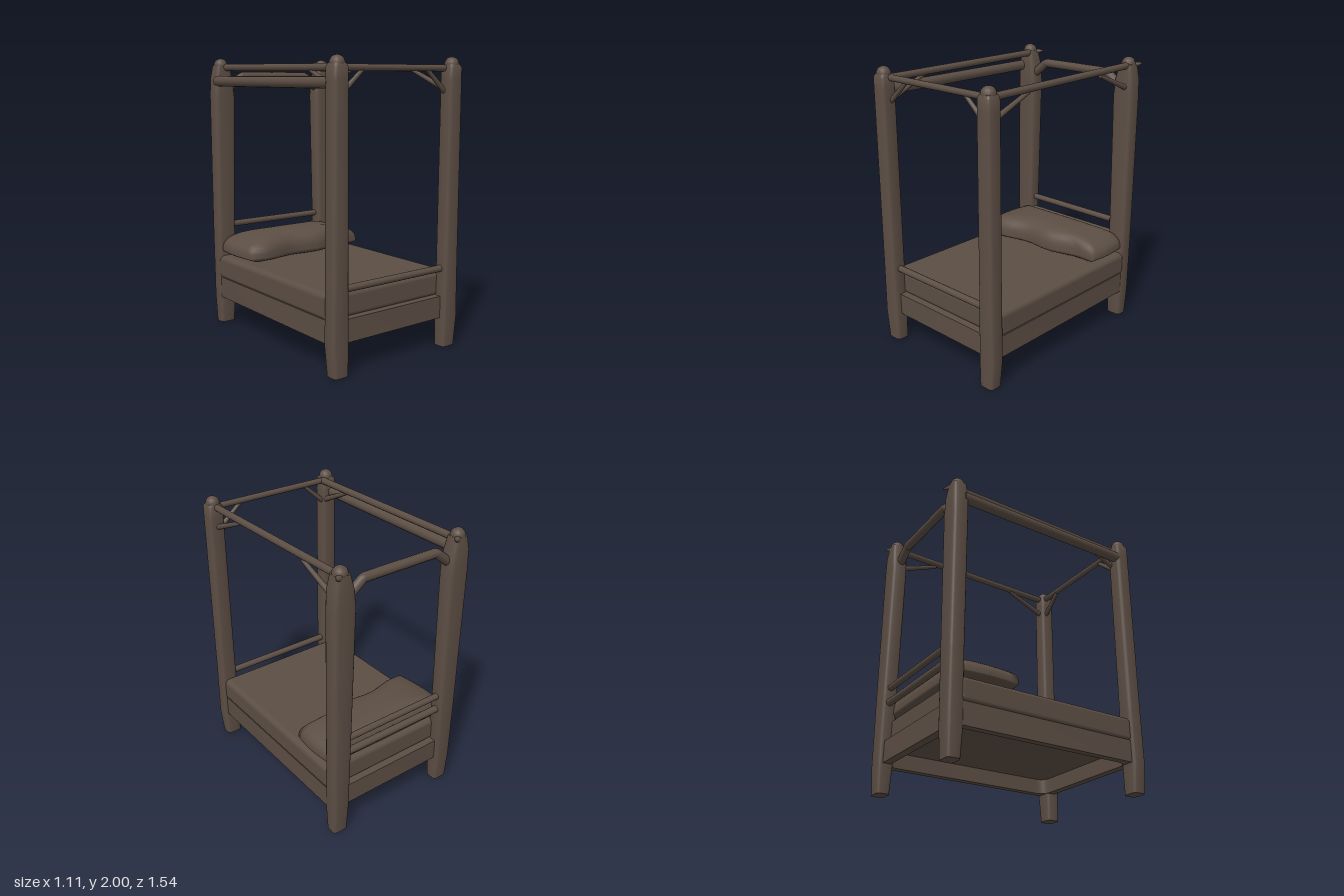
import * as THREE from 'three';
import { toCreasedNormals } from 'three/addons/utils/BufferGeometryUtils.js';
import { RoundedBoxGeometry } from 'three/addons/geometries/RoundedBoxGeometry.js';

const wood = new THREE.MeshStandardMaterial({ color: 0x5c4e44 });
wood.name = 'darkBrown';

function add(group, name, geometry) {
  const mesh = new THREE.Mesh(geometry, wood);
  mesh.name = name;
  group.add(mesh);
  return mesh;
}

// Soft-cornered column through rings [y, centreX, centreZ, halfX, halfZ]
function loft(rings, n = 20) {
  const pos = [], idx = [];
  const soft = v => Math.sign(v) * Math.pow(Math.abs(v), 0.45);
  for (const [y, cx, cz, hx, hz] of rings) {
    for (let i = 0; i < n; i++) {
      const a = (i / n) * Math.PI * 2;
      pos.push(cx + hx * soft(Math.cos(a)), y, cz + hz * soft(Math.sin(a)));
    }
  }
  for (let r = 0; r < rings.length - 1; r++) {
    for (let i = 0; i < n; i++) {
      const a = r * n + i, b = r * n + (i + 1) % n;
      idx.push(a, a + n, b, b, a + n, b + n);
    }
  }
  const last = (rings.length - 1) * n;
  for (let i = 1; i < n - 1; i++) {
    idx.push(0, i, i + 1);
    idx.push(last, last + i + 1, last + i);
  }
  const g = new THREE.BufferGeometry();
  g.setAttribute('position', new THREE.Float32BufferAttribute(pos, 3));
  g.setIndex(idx);
  return toCreasedNormals(g, 0.7);
}

// Round pole between two points
function pole(group, name, a, b, r0, r1 = r0) {
  const A = new THREE.Vector3(...a), B = new THREE.Vector3(...b);
  const dir = B.clone().sub(A);
  const mesh = add(group, name, new THREE.CylinderGeometry(r1, r0, dir.length(), 14));
  mesh.position.copy(A).add(B).multiplyScalar(0.5);
  mesh.quaternion.setFromUnitVectors(new THREE.Vector3(0, 1, 0), dir.normalize());
  return mesh;
}

function roundedRect(path, hx, hz, r) {
  path.moveTo(-hx + r, -hz);
  path.lineTo(hx - r, -hz);
  path.quadraticCurveTo(hx, -hz, hx, -hz + r);
  path.lineTo(hx, hz - r);
  path.quadraticCurveTo(hx, hz, hx - r, hz);
  path.lineTo(-hx + r, hz);
  path.quadraticCurveTo(-hx, hz, -hx, hz - r);
  path.lineTo(-hx, -hz + r);
  path.quadraticCurveTo(-hx, -hz, -hx + r, -hz);
  return path;
}

export function createModel() {
  const bed = new THREE.Group();
  bed.name = 'fourPosterBed';

  // Posts with tapered feet and domed caps
  for (const s of [-1, 1]) {
    add(bed, 'frontPost', loft([
      [0, s * 0.478, 0.715, 0.058, 0.05], [0.2, s * 0.487, 0.715, 0.068, 0.055],
      [0.6, s * 0.487, 0.715, 0.062, 0.056], [1.85, s * 0.487, 0.715, 0.058, 0.056],
      [1.93, s * 0.487, 0.715, 0.056, 0.056], [1.95, s * 0.487, 0.715, 0.045, 0.045]]));
    add(bed, 'backPost', loft([
      [0, s * 0.47, -0.7, 0.058, 0.047], [0.2, s * 0.47, -0.7, 0.066, 0.058],
      [0.7, s * 0.467, -0.705, 0.073, 0.056], [1.72, s * 0.458, -0.706, 0.083, 0.06],
      [1.85, s * 0.462, -0.706, 0.073, 0.06], [1.95, s * 0.465, -0.706, 0.05, 0.05]]));
    for (const [x, z] of [[s * 0.487, 0.715], [s * 0.465, -0.706]]) {
      const cap = add(bed, 'postCap', new THREE.SphereGeometry(0.05, 16, 10));
      cap.position.set(x, 1.95, z);
    }
  }
  // Pointed flares on the back caps
  pole(bed, 'capFlare', [0.465, 1.93, -0.715], [0.54, 1.955, -0.77], 0.035, 0.004);
  pole(bed, 'capFlare', [-0.47, 1.93, -0.715], [-0.38, 1.95, -0.77], 0.035, 0.004);

  // Canopy poles
  pole(bed, 'frontCanopyPole', [-0.46, 1.925, 0.7], [0.46, 1.925, 0.7], 0.022);
  pole(bed, 'leftCanopyPole', [0.48, 1.925, 0.7], [0.475, 1.94, -0.7], 0.024);
  pole(bed, 'rightCanopyPole', [-0.445, 1.925, 0.7], [-0.445, 1.935, -0.7], 0.025);
  pole(bed, 'rightLowerPole', [-0.508, 1.835, 0.68], [-0.508, 1.835, -0.68], 0.038);

  // Back canopy pole bending down into its posts
  const arch = new THREE.CurvePath();
  const pts = [[-0.42, 1.77], [-0.29, 1.87], [0.29, 1.87], [0.42, 1.77]]
    .map(([x, y]) => new THREE.Vector3(x, y, -0.7));
  for (let i = 0; i < 3; i++) arch.add(new THREE.LineCurve3(pts[i], pts[i + 1]));
  add(bed, 'backCanopyPole', new THREE.TubeGeometry(arch, 60, 0.032, 12));

  // Corner braces
  for (const s of [-1, 1]) {
    pole(bed, 'frontBrace', [s * 0.44, 1.77, 0.7], [s * 0.28, 1.91, 0.7], 0.018, 0.014);
    pole(bed, 'leftBrace', [0.48, 1.78, s * 0.68], [0.48, 1.91, s * 0.36], 0.02, 0.014);
  }
  pole(bed, 'rightBrace', [-0.455, 1.78, 0.68], [-0.45, 1.91, 0.4], 0.02, 0.014);

  // Headboard and footboard rails
  pole(bed, 'footRail', [-0.46, 0.556, 0.71], [0.46, 0.556, 0.71], 0.024);
  pole(bed, 'headRail', [-0.44, 0.75, -0.71], [0.44, 0.75, -0.71], 0.023);
  pole(bed, 'headRail', [-0.44, 0.64, -0.71], [0.44, 0.64, -0.71], 0.026);

  // Hollow bed frame
  const shape = roundedRect(new THREE.Shape(), 0.53, 0.725, 0.06);
  shape.holes.push(roundedRect(new THREE.Path(), 0.475, 0.665, 0.08));
  const frame = new THREE.ExtrudeGeometry(shape, { depth: 0.155, bevelEnabled: false, curveSegments: 8 });
  frame.rotateX(-Math.PI / 2).translate(0, 0.205, 0);
  add(bed, 'bedFrame', toCreasedNormals(frame, 0.6));
  const base = add(bed, 'basePanel', new THREE.BoxGeometry(1, 0.03, 1.38));
  base.position.y = 0.33;

  // Mattress with gently bulging sides
  const mattress = new RoundedBoxGeometry(1.06, 0.175, 1.36, 4, 0.035);
  const mp = mattress.attributes.position;
  for (let i = 0; i < mp.count; i++) {
    const y = mp.getY(i);
    mp.setX(i, mp.getX(i) * (1 + 0.02 * (1 - Math.pow(y / 0.0875, 2))));
  }
  add(bed, 'mattress', mattress).position.set(0, 0.4375, 0);

  // Pillow: plump centre, pinched corners and a slanted wavy front edge
  const pillow = new THREE.SphereGeometry(1, 40, 24);
  const pp = pillow.attributes.position;
  for (let i = 0; i < pp.count; i++) {
    const x = pp.getX(i), y = pp.getY(i), z = pp.getZ(i);
    const r = Math.hypot(x, z), m = Math.max(Math.abs(x), Math.abs(z)) || 1;
    const k = Math.pow(r, 0.7) * Math.pow(r / m, 0.9) / Math.max(r, 1e-6);
    const u = x * k, v = z * k;
    const front = Math.max(v, 0);
    const edge = front * (0.02 * Math.sin(u * 7) - 0.045 * u);
    const lift = y > 0 ? 0.15 * Math.pow(y, 0.75) : 0.05 * y;
    pp.setXYZ(i, u * 0.53, 0.57 + lift, -0.475 + v * 0.205 + edge);
  }
  pillow.computeVertexNormals();
  add(bed, 'pillow', pillow);

  return bed;
}
